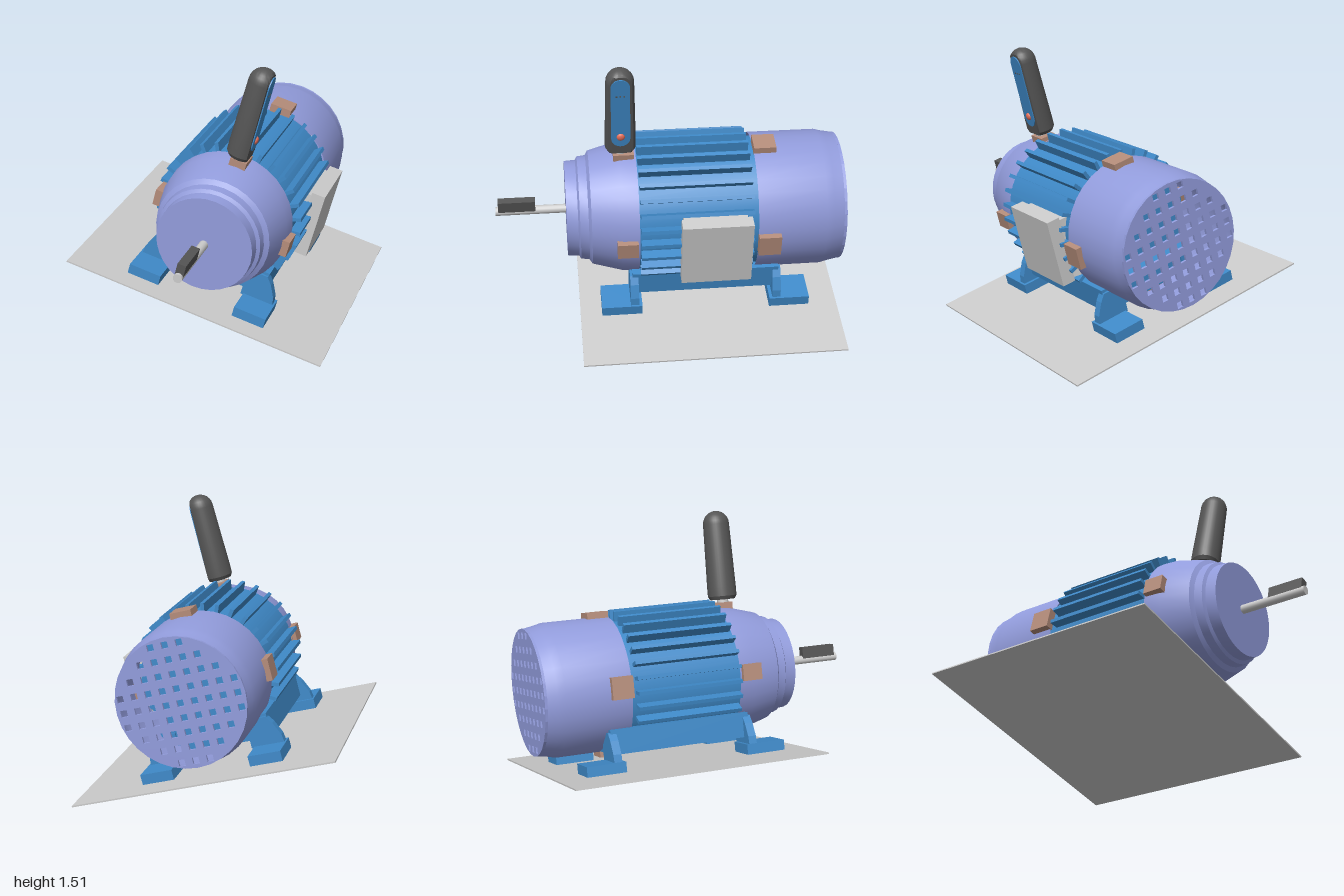
import * as THREE from 'three';
import { toCreasedNormals } from 'three/addons/utils/BufferGeometryUtils.js';

const mat = (color, side = THREE.FrontSide) => new THREE.MeshStandardMaterial({ color, side });
const blue = mat(0x3f8ac9), violet = mat(0x929cdc, THREE.DoubleSide), brown = mat(0xb48c7a);
const dark = mat(0x555555), grey = mat(0xcccccc), red = mat(0xe8705a);

export function createModel() {
  const model = new THREE.Group();
  model.name = 'electricMotor';
  // motor frame: z is the shaft axis, y is up from the sloping ground
  const motor = new THREE.Group();
  motor.name = 'motor';
  motor.rotation.set(0, -Math.PI / 4, -Math.PI / 12);
  motor.position.set(0.066, 0.633, 0.066);
  model.add(motor);

  const add = (name, geometry, material, x = 0, y = 0, z = 0, parent = motor) => {
    const m = new THREE.Mesh(geometry, material);
    m.name = name;
    m.position.set(x, y, z);
    parent.add(m);
    return m;
  };
  const box = (w, h, d) => new THREE.BoxGeometry(w, h, d);
  // profile of [radius, z] pairs turned around the z axis
  const turned = (pts, sides = 32) => toCreasedNormals(
    new THREE.LatheGeometry(pts.map(p => new THREE.Vector2(...p)), sides).rotateX(Math.PI / 2), 0.4);
  const polar = (mesh, angle, r) => {
    mesh.position.x = r * Math.cos(angle);
    mesh.position.y = r * Math.sin(angle);
    mesh.rotation.z = angle;
  };

  // sloping ground plate
  add('groundPlate', box(1.464, 0.008, 1.414), grey, 0.025, -0.452, 0);

  // finned body
  add('body', turned([[0, -0.28], [0.352, -0.28], [0.352, 0.41], [0, 0.41]]), blue);
  for (let i = 0; i < 30; i++) {
    const angle = (6 + i * 12) * Math.PI / 180;
    if (Math.sin(angle) < -0.75) continue;
    polar(add('coolingFin', box(0.08, 0.02, 0.6), blue, 0, 0, 0.075), angle, 0.365);
  }

  // stepped shield at the shaft end
  add('endShield', turned([[0.36, 0.38], [0.354, 0.47], [0.31, 0.63], [0.285, 0.645],
    [0.28, 0.69], [0.262, 0.7], [0.258, 0.76], [0, 0.76]].reverse()), violet);

  // shaft with its key
  add('shaft', new THREE.CylinderGeometry(0.024, 0.024, 0.42, 16).rotateX(Math.PI / 2), grey, 0, 0, 0.93);
  add('shaftKey', box(0.045, 0.065, 0.2), dark, 0, 0.04, 1.025);

  // fan cover with a pierced end
  add('fanCover', turned([[0.35, -0.725], [0.362, -0.66], [0.372, -0.62], [0.372, -0.25]]), violet);
  const disc = new THREE.Shape().absarc(0, 0, 0.352, 0, Math.PI * 2);
  const pitch = 0.078, h = 0.018;
  for (let i = -4; i <= 4; i++) for (let j = -4; j <= 4; j++) {
    const x = i * pitch, y = j * pitch;
    if (Math.hypot(x, y) > 0.325) continue;
    disc.holes.push(new THREE.Path([[-h, -h], [-h, h], [h, h], [h, -h]]
      .map(([a, b]) => new THREE.Vector2(x + a, y + b))));
  }
  add('fanGrille', new THREE.ExtrudeGeometry(disc, { depth: 0.015, bevelEnabled: false, curveSegments: 16 }),
    violet, 0, 0, -0.73);

  // clips over both joints
  for (let i = 0; i < 4; i++) {
    const angle = i * Math.PI / 2;
    polar(add('rearClip', box(0.045, 0.12, 0.12), brown, 0, 0, -0.31), angle, 0.378);
    polar(add('frontClip', box(0.045, 0.09, 0.11), brown, 0, 0, 0.445), angle, 0.36);
  }

  // base and four feet with lugs
  add('base', box(0.64, 0.135, 0.8), blue, 0, -0.292, 0.02);
  const lug = new THREE.Shape([[0.2, -0.4], [0.385, -0.4], [0.378, -0.35], [0.345, -0.28], [0.315, -0.24], [0.2, -0.24]]
    .map(p => new THREE.Vector2(...p)));
  const lugGeo = new THREE.ExtrudeGeometry(lug, { depth: 0.045, bevelEnabled: false });
  for (const end of [1, -1]) {
    for (const side of [1, -1]) {
      add('foot', box(0.18, 0.056, 0.22), blue, side * 0.305, -0.42, 0.02 + end * 0.46);
      const m = add('footLug', lugGeo, blue, 0, 0, 0.02 + end * 0.39 + side * -0.0225);
      if (side < 0) m.rotation.y = Math.PI;
    }
  }

  // terminal box: neck flares toward the body at the bottom
  const neck = box(0.16, 0.34, 0.34);
  const np = neck.attributes.position;
  for (let i = 0; i < np.count; i++) {
    if (np.getX(i) < 0 && np.getY(i) < 0) np.setZ(i, np.getZ(i) * 1.35);
  }
  neck.computeVertexNormals();
  add('terminalBoxNeck', neck, grey, 0.295, -0.005, -0.02);
  add('terminalBoxLid', box(0.075, 0.38, 0.375), grey, 0.405, 0, -0.022);

  // hand unit standing on a short stem
  const unit = new THREE.Group();
  unit.name = 'sensorUnit';
  unit.position.set(0, 0.37, 0.46);
  motor.add(unit);
  add('sensorStem', new THREE.CylinderGeometry(0.032, 0.032, 0.08, 16), grey, 0, 0.02, 0, unit);
  const profile = [[0, 0.03], [0.07, 0.03], [0.082, 0.05], [0.082, 0.1], [0.074, 0.46]];
  for (let i = 1; i <= 6; i++) {
    const a = i * Math.PI / 12;
    profile.push([0.074 * Math.cos(a), 0.46 + 0.074 * Math.sin(a)]);
  }
  const shell = new THREE.LatheGeometry(profile.map(p => new THREE.Vector2(...p)), 32);
  const sp = shell.attributes.position;
  for (let i = 0; i < sp.count; i++) sp.setX(i, Math.min(sp.getX(i), 0.045)); // flat face
  add('sensorShell', toCreasedNormals(shell, 0.5), dark, 0, 0, 0, unit);

  // rounded panel, button and indicator dots on the flat face
  const panel = new THREE.Shape();
  panel.absarc(0, 0.45, 0.05, 0, Math.PI, false);
  panel.absarc(0, 0.13, 0.05, Math.PI, Math.PI * 2, false);
  add('sensorPanel', new THREE.ExtrudeGeometry(panel, { depth: 0.008, bevelEnabled: false })
    .rotateY(Math.PI / 2), blue, 0.043, 0, 0, unit);
  add('sensorButton', new THREE.SphereGeometry(0.022, 16, 12).scale(0.6, 1, 1), red, 0.05, 0.14, 0, unit);
  for (let i = -1; i <= 1; i++) add('indicatorDot', box(0.006, 0.008, 0.008), dark, 0.05, 0.4, i * 0.02, unit);

  return model;
}
